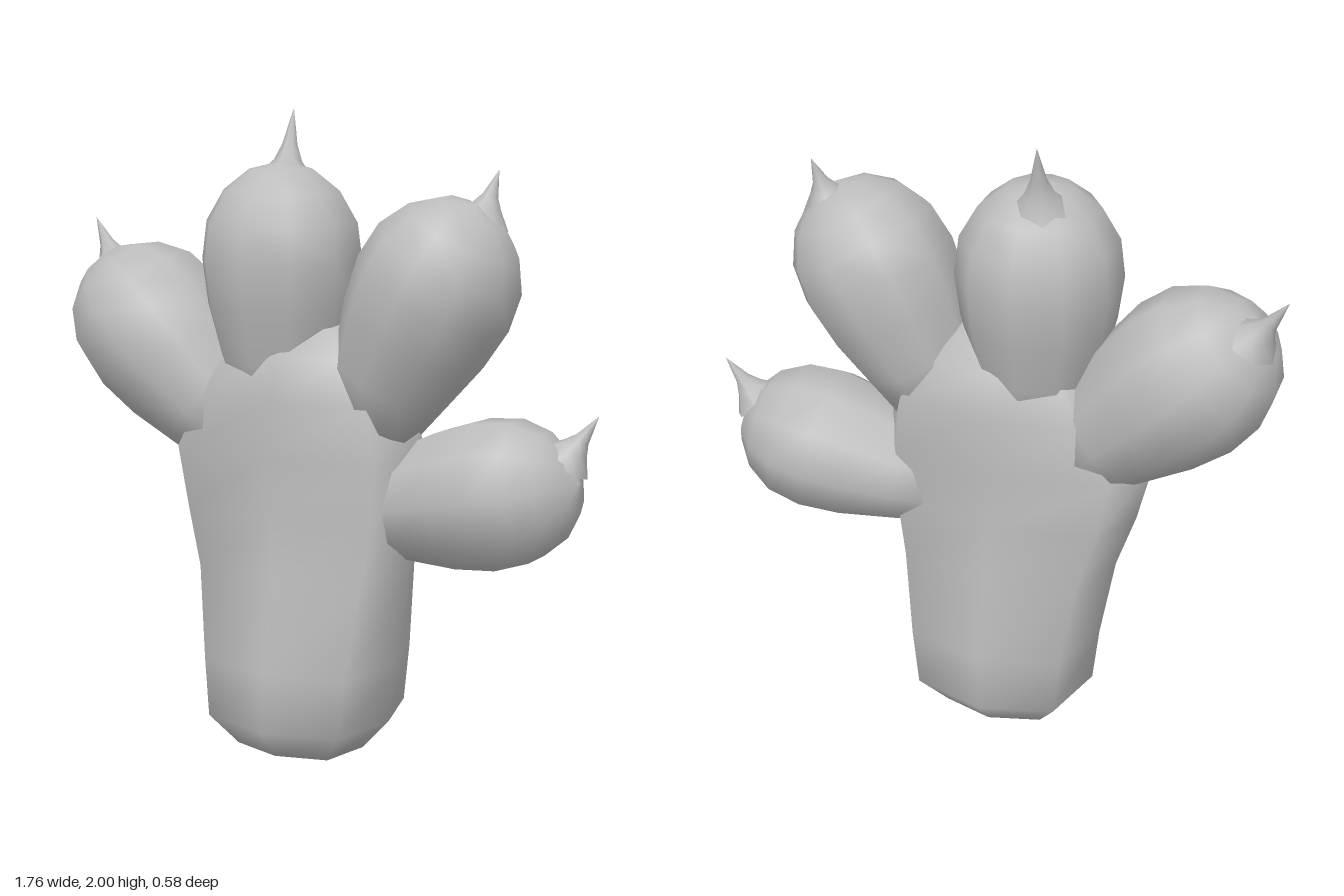
import * as THREE from 'three';

const skin = new THREE.MeshStandardMaterial({ color: 0xbcbcbc });
skin.name = 'grey';
const UP = new THREE.Vector3(0, 1, 0);

// Rounded-square loft: rings are [y, xMin, xMax, zBack, zFront], closed at both ends
function loft(rings, sides) {
  const pos = [], idx = [];
  for (const [y, x0, x1, z0, z1] of rings) {
    for (let i = 0; i < sides; i++) {
      const a = (i / sides) * Math.PI * 2;
      const c = Math.cos(a), s = Math.sin(a);
      const sx = Math.sign(c) * Math.abs(c) ** 0.65;
      const sz = Math.sign(s) * Math.abs(s) ** 0.75;
      pos.push((x0 + x1) / 2 + (sx * (x1 - x0)) / 2, y, (z0 + z1) / 2 + (sz * (z1 - z0)) / 2);
    }
  }
  for (let r = 0; r < rings.length - 1; r++) {
    for (let i = 0; i < sides; i++) {
      const a = r * sides + i, b = r * sides + ((i + 1) % sides);
      idx.push(a, a + sides, b, b, a + sides, b + sides);
    }
  }
  const geo = new THREE.BufferGeometry();
  geo.setAttribute('position', new THREE.Float32BufferAttribute(pos, 3));
  geo.setIndex(idx);
  geo.computeVertexNormals();
  return geo;
}

// Lathe placed at a point, its axis turned along a direction
function turned(name, profile, segments, at, dir) {
  const geo = new THREE.LatheGeometry(profile.map(([r, y]) => new THREE.Vector2(r, y)), segments);
  const mesh = new THREE.Mesh(geo, skin);
  mesh.name = name;
  mesh.position.copy(at);
  mesh.quaternion.setFromUnitVectors(UP, dir.clone().normalize());
  return mesh;
}

// Bulb profile as [radius, distance along axis], in bulb radii
const BULB = [[0, -2.05], [0.6, -1.85], [0.76, -1.25], [0.93, -0.6], [1, -0.05],
  [0.94, 0.42], [0.72, 0.8], [0.4, 1.05], [0, 1.15]];

// Toe: bulb with a small thorn-like claw
function toe(name, center, dir, r, clawBase, clawTip) {
  const group = new THREE.Group();
  group.name = name;
  const v = (p) => new THREE.Vector3(...p);
  group.add(turned('toeBulb', BULB.map(([a, b]) => [a * r, b * r]), 10, v(center), v(dir)));
  const axis = v(clawTip).sub(v(clawBase));
  const len = axis.length();
  const claw = [[0.085, -0.04], [0.045, 0.01], [0.024, len * 0.35], [0.013, len * 0.65], [0, len]];
  group.add(turned('claw', claw, 7, v(clawBase), axis));
  return group;
}

export function createModel() {
  const model = new THREE.Group();
  model.name = 'paw';

  // Wrist and palm
  const palm = new THREE.Mesh(loft([
    [0, -0.03, -0.02, -0.005, 0.005],
    [0.035, -0.23, 0.17, -0.2, 0.2],
    [0.135, -0.315, 0.26, -0.285, 0.285],
    [0.32, -0.335, 0.285, -0.28, 0.28],
    [0.6, -0.385, 0.32, -0.245, 0.225],
    [0.78, -0.445, 0.36, -0.225, 0.205],
    [0.97, -0.49, 0.37, -0.22, 0.2],
    [1.15, -0.38, 0.33, -0.225, 0.205],
    [1.28, -0.28, 0.22, -0.19, 0.18],
    [1.36, -0.2, 0.14, -0.1, 0.1],
    [1.38, -0.04, -0.03, -0.005, 0.005],
  ], 8), skin);
  palm.name = 'palm';
  model.add(palm);

  // Toes
  model.add(toe('outerToe', [-0.585, 1.305, -0.01], [-0.72, 0.69, 0], 0.255,
    [-0.8, 1.51, -0.08], [-0.885, 1.635, -0.11]));
  model.add(toe('middleToe', [-0.12, 1.56, -0.005], [0, 1, 0], 0.25,
    [-0.15, 1.83, -0.095], [-0.16, 2, -0.15]));
  model.add(toe('innerToe', [0.4, 1.49, -0.005], [0.46, 0.89, 0], 0.248,
    [0.535, 1.725, -0.055], [0.565, 1.84, -0.08]));
  model.add(toe('thumb', [0.58, 0.885, -0.065], [0.97, 0.2, -0.06], 0.232,
    [0.805, 1.03, -0.1], [0.88, 1.14, -0.115]));

  return model;
}
